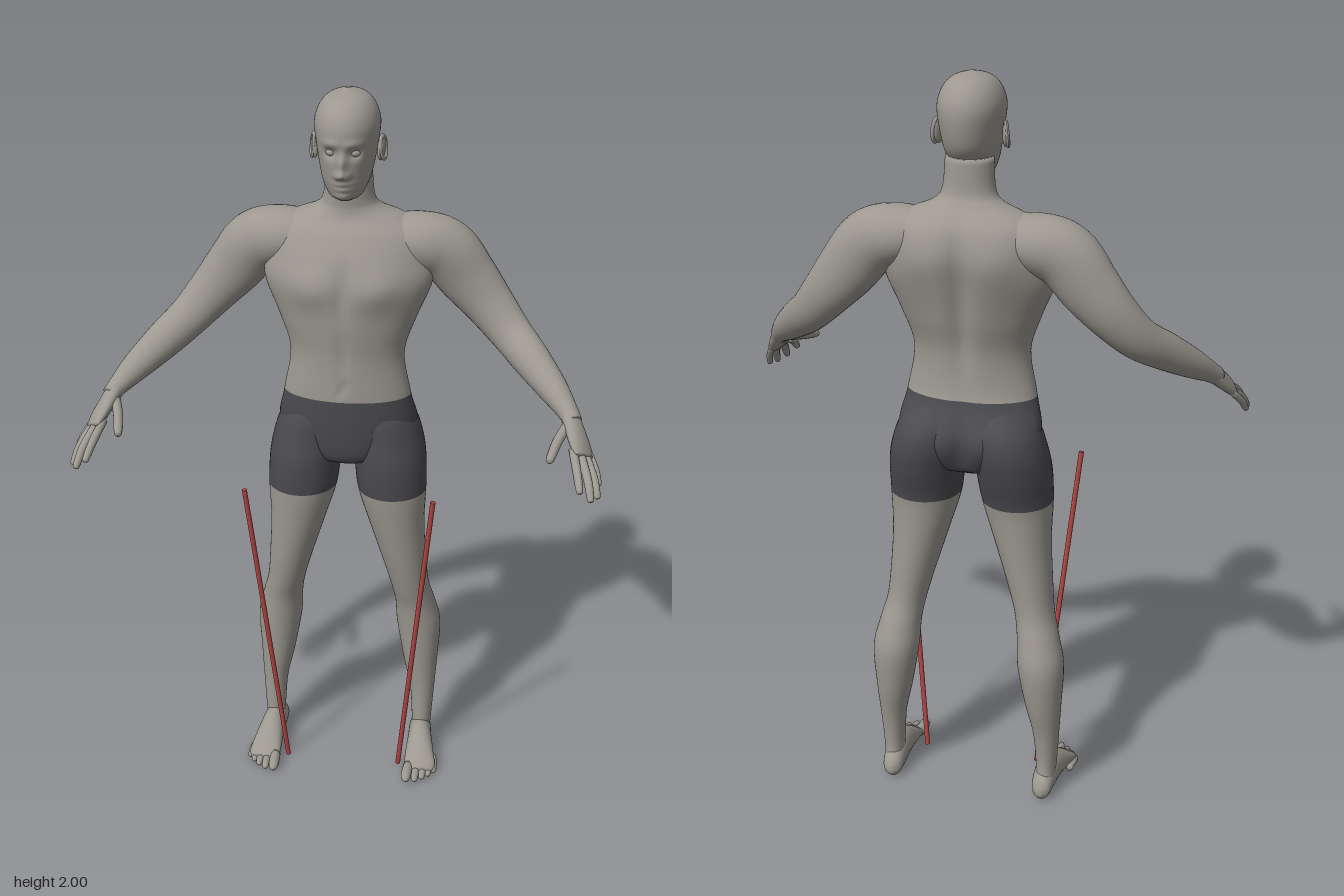
import * as THREE from 'three';

const mat = (name, color) => Object.assign(new THREE.MeshStandardMaterial({ color }), { name });
const V = (x, y, z) => new THREE.Vector3(x, y, z);
const UP = V(0, 1, 0), FRONT = V(0, 0, 1);

// Smooth closed skin through elliptical sections [x, y, z, radiusA, radiusB].
// ref orients the ellipses; axis, if given, keeps all sections parallel.
// pick(y) selects the material index of each row; bend(v) moves vertices.
function loft(sections, { ref = FRONT, axis = null, seg = 32, steps = 5, pick = null, bend = null } = {}) {
  const path = new THREE.CatmullRomCurve3(sections.map(s => V(s[0], s[1], s[2])), false, 'catmullrom');
  const size = new THREE.CatmullRomCurve3(sections.map(s => V(s[3], s[4], 0)), false, 'catmullrom');
  const rows = (sections.length - 1) * steps, pos = [], index = [], geo = new THREE.BufferGeometry();
  const heights = [];
  for (let i = 0; i <= rows; i++) {
    const t = i / rows, c = path.getPoint(t), r = size.getPoint(t);
    const T = axis ? axis.clone().normalize() : path.getTangent(t);
    const A = T.clone().cross(ref).normalize(), B = A.clone().cross(T);
    heights.push(c.y);
    for (let j = 0; j < seg; j++) {
      const a = j / seg * Math.PI * 2;
      const v = c.clone().addScaledVector(A, Math.cos(a) * r.x).addScaledVector(B, Math.sin(a) * r.y);
      if (bend) bend(v);
      pos.push(v.x, v.y, v.z);
    }
  }
  const first = pos.length / 3, last = first + 1;
  pos.push(...path.getPoint(0).toArray(), ...path.getPoint(1).toArray());
  for (let i = 0; i < rows; i++) {
    const start = index.length;
    for (let j = 0; j < seg; j++) {
      const k = (j + 1) % seg, a = i * seg + j, b = i * seg + k, c = a + seg, d = b + seg;
      index.push(a, c, b, b, c, d);
      if (i === 0) index.push(first, a, b);
      if (i === rows - 1) index.push(last, d, c);
    }
    if (pick) geo.addGroup(start, index.length - start, pick((heights[i] + heights[i + 1]) / 2));
  }
  geo.setAttribute('position', new THREE.Float32BufferAttribute(pos, 3));
  geo.setIndex(index);
  geo.computeVertexNormals();
  return geo;
}

// Finger or toe with a rounded tip
function digit(points, r) {
  const [p, q] = points.slice(-2).map(a => V(...a));
  const near = p.clone().lerp(q, 1 - Math.min(0.45, r * 0.7 / p.distanceTo(q)));
  return loft([
    ...points.slice(0, -1).map(a => [...a, r, r]),
    [...near.toArray(), r * 0.8, r * 0.8],
    [...q.toArray(), r * 0.12, r * 0.12],
  ], { ref: V(0.6, 0.7, -0.2), seg: 12, steps: 4 });
}

// Reflects a geometry in x and keeps its faces pointing outward
function mirrored(geo) {
  const g = geo.clone().scale(-1, 1, 1), ix = g.index.array;
  for (let i = 0; i < ix.length; i += 3) [ix[i], ix[i + 1]] = [ix[i + 1], ix[i]];
  g.computeVertexNormals();
  return g;
}

const bump = (d, s) => Math.exp(-((d / s) ** 2));
const vertical = rows => rows.map(([y, x, z, a, b]) => [x, y, z, a, b]);

// Chest, abdomen and spine relief
function torsoRelief(v) {
  const x = Math.abs(v.x), y = v.y;
  if (v.z > -0.11) {
    v.z += 0.016 * bump(x - 0.085, 0.06) * bump(y - 1.5, 0.05);
    v.z -= 0.01 * bump(x, 0.015) * bump(y - 1.5, 0.07);
    v.z -= 0.005 * bump(x, 0.014) * bump(y - 1.32, 0.1);
    v.z -= 0.008 * bump(x, 0.009) * bump(y - 1.22, 0.01);
  } else {
    v.z += 0.024 * bump(x, 0.028) * (bump(y - 1.45, 0.17) + bump(y - 1.06, 0.08));
    v.z -= 0.012 * bump(x - 0.1, 0.06) * bump(y - 1.56, 0.08);
  }
}

// Nose, brow, eye sockets, lips and chin
function faceRelief(v) {
  if (v.z < -0.06) return;
  const x = Math.abs(v.x), y = v.y;
  v.z += bump(x, 0.011) * (0.024 * bump(y - 1.81, 0.013) + 0.015 * bump(y - 1.838, 0.02));
  v.z += 0.012 * bump(x - 0.013, 0.008) * bump(y - 1.806, 0.009);
  v.z += 0.006 * bump(x - 0.028, 0.025) * bump(y - 1.886, 0.01);
  v.z -= 0.014 * bump(x - 0.03, 0.015) * bump(y - 1.862, 0.013);
  v.z += bump(x, 0.022) * (0.007 * bump(y - 1.783, 0.006) + 0.007 * bump(y - 1.768, 0.006));
  v.z += 0.008 * bump(x, 0.02) * bump(y - 1.748, 0.012);
}

export function createModel() {
  const skin = mat('skin', 0x9d9991), cloth = mat('shorts', 0x4b4a4f), red = mat('red rod', 0xb04643);
  const model = new THREE.Group();
  model.name = 'standingFigure';
  const add = (name, geo, material) => {
    const m = new THREE.Mesh(geo, material);
    m.name = name;
    model.add(m);
  };
  const pair = (name, geo, material = skin) => {
    add(name + 'Left', geo, material);
    add(name + 'Right', mirrored(geo), material);
  };

  // Torso and neck, with the shorts below the waist
  add('torso', loft(vertical([
    [0.97, 0, -0.13, 0.06, 0.05], [1.0, 0, -0.13, 0.13, 0.095], [1.08, 0, -0.138, 0.188, 0.115],
    [1.18, 0, -0.112, 0.172, 0.092], [1.3, 0, -0.11, 0.153, 0.092], [1.4, 0, -0.118, 0.183, 0.11],
    [1.5, 0, -0.128, 0.222, 0.122], [1.57, 0, -0.14, 0.215, 0.12], [1.63, 0, -0.15, 0.2, 0.1],
    [1.665, 0, -0.152, 0.15, 0.076], [1.69, 0, -0.145, 0.09, 0.062], [1.72, 0, -0.137, 0.067, 0.056],
    [1.8, 0, -0.13, 0.06, 0.06],
  ]), { axis: UP, seg: 72, steps: 6, pick: y => (y < 1.18 ? 1 : 0), bend: torsoRelief }), [skin, cloth]);

  // Head
  add('head', loft(vertical([
    [1.732, 0, -0.068, 0.022, 0.03], [1.745, 0, -0.075, 0.043, 0.052], [1.78, 0, -0.086, 0.06, 0.076],
    [1.82, 0, -0.1, 0.07, 0.099], [1.87, 0, -0.105, 0.078, 0.111], [1.92, 0, -0.106, 0.083, 0.114],
    [1.96, 0, -0.107, 0.071, 0.097], [1.986, 0, -0.109, 0.046, 0.063], [2.0, 0, -0.11, 0.003, 0.004],
  ]), { axis: UP, seg: 96, steps: 8, bend: faceRelief }), skin);
  pair('eye', new THREE.SphereGeometry(0.012, 16, 12).scale(1.1, 0.8, 1).translate(0.03, 1.862, -0.02));
  pair('ear', new THREE.SphereGeometry(1, 20, 14).scale(0.008, 0.031, 0.018)
    .rotateX(-0.2).rotateY(-0.35).translate(0.085, 1.85, -0.112));
  pair('earRim', new THREE.TorusGeometry(0.02, 0.005, 8, 24).scale(0.8, 1.4, 1)
    .rotateX(-0.1).rotateY(Math.PI / 2 - 0.35).translate(0.089, 1.852, -0.114));

  // Arms
  pair('arm', loft([
    [0.1, 1.6, -0.155, 0.062, 0.072], [0.18, 1.596, -0.155, 0.077, 0.082], [0.25, 1.572, -0.16, 0.083, 0.072],
    [0.31, 1.5, -0.163, 0.078, 0.06], [0.37, 1.43, -0.155, 0.066, 0.053], [0.43, 1.365, -0.125, 0.056, 0.047],
    [0.49, 1.315, -0.065, 0.05, 0.045], [0.55, 1.265, 0, 0.039, 0.037], [0.59, 1.228, 0.05, 0.027, 0.028],
    [0.605, 1.21, 0.075, 0.024, 0.026],
  ], { steps: 6 }));

  // Hands
  pair('palm', loft([
    [0.592, 1.228, 0.05, 0.024, 0.022], [0.612, 1.195, 0.095, 0.036, 0.02],
    [0.627, 1.17, 0.13, 0.041, 0.017], [0.638, 1.152, 0.153, 0.036, 0.01],
  ], { ref: V(-0.7, -0.58, -0.2), seg: 24 }));
  [
    ['thumb', [[0.59, 1.205, 0.085], [0.567, 1.187, 0.15], [0.55, 1.168, 0.222]], 0.013],
    ['indexFinger', [[0.608, 1.17, 0.15], [0.62, 1.142, 0.212], [0.631, 1.106, 0.264]], 0.011],
    ['middleFinger', [[0.626, 1.162, 0.145], [0.648, 1.122, 0.212], [0.66, 1.08, 0.256]], 0.011],
    ['ringFinger', [[0.638, 1.156, 0.13], [0.664, 1.114, 0.186], [0.677, 1.073, 0.223]], 0.0105],
    ['littleFinger', [[0.645, 1.154, 0.11], [0.668, 1.117, 0.146], [0.68, 1.083, 0.172]], 0.0095],
  ].forEach(([name, pts, r]) => pair(name, digit(pts, r)));

  // Legs, with the shorts above mid thigh
  pair('leg', loft(vertical([
    [0.04, 0.221, -0.155, 0.026, 0.04], [0.1, 0.222, -0.15, 0.029, 0.037], [0.2, 0.221, -0.156, 0.036, 0.043],
    [0.3, 0.213, -0.164, 0.05, 0.057], [0.42, 0.205, -0.167, 0.063, 0.068], [0.5, 0.194, -0.155, 0.057, 0.064],
    [0.57, 0.179, -0.137, 0.054, 0.064], [0.66, 0.162, -0.127, 0.062, 0.073], [0.78, 0.14, -0.12, 0.077, 0.085],
    [0.89, 0.125, -0.118, 0.095, 0.097], [0.98, 0.118, -0.13, 0.099, 0.113], [1.05, 0.108, -0.142, 0.096, 0.115],
    [1.11, 0.095, -0.14, 0.085, 0.105], [1.17, 0.08, -0.12, 0.05, 0.06],
  ]), { axis: UP, seg: 40, pick: y => (y > 0.89 ? 1 : 0) }), [skin, cloth]);

  // Feet
  pair('foot', loft([
    [0.216, 0.03, -0.212, 0.008, 0.012], [0.217, 0.036, -0.195, 0.026, 0.033], [0.219, 0.048, -0.15, 0.032, 0.046],
    [0.223, 0.05, -0.095, 0.035, 0.048], [0.228, 0.036, -0.035, 0.042, 0.034], [0.232, 0.021, 0.005, 0.045, 0.02],
    [0.23, 0.016, 0.026, 0.036, 0.012],
  ], { ref: UP, axis: V(0.08, 0, 1) }));
  [[0.197, 0.077, 0.015], [0.222, 0.068, 0.011], [0.242, 0.054, 0.0105], [0.259, 0.037, 0.01], [0.273, 0.018, 0.0095]]
    .forEach(([x, z, r], i) => pair('toe' + (i + 1),
      digit([[x * 0.9 + 0.022, r + 0.006, z - 0.07], [x, r + 0.004, z - 0.03], [x, r, z]], r)));

  // Slanted rods beside the legs
  const foot = V(0.165, 0.004, -0.022), tip = V(0.254, 0.952, 0.077), dir = tip.clone().sub(foot);
  const rod = new THREE.CylinderGeometry(0.007, 0.007, dir.length(), 12);
  rod.applyQuaternion(new THREE.Quaternion().setFromUnitVectors(UP, dir.clone().normalize()));
  rod.translate(...foot.add(tip).multiplyScalar(0.5).toArray());
  add('rodLeft', rod, red);
  add('rodRight', rod.clone().rotateY(0), red);
  const other = model.children[model.children.length - 1].geometry;
  const normals = other.attributes.normal;
  other.scale(-1, 1, 1);
  const ix = other.index.array;
  for (let i = 0; i < ix.length; i += 3) [ix[i], ix[i + 1]] = [ix[i + 1], ix[i]];
  normals.needsUpdate = true;

  return model;
}
